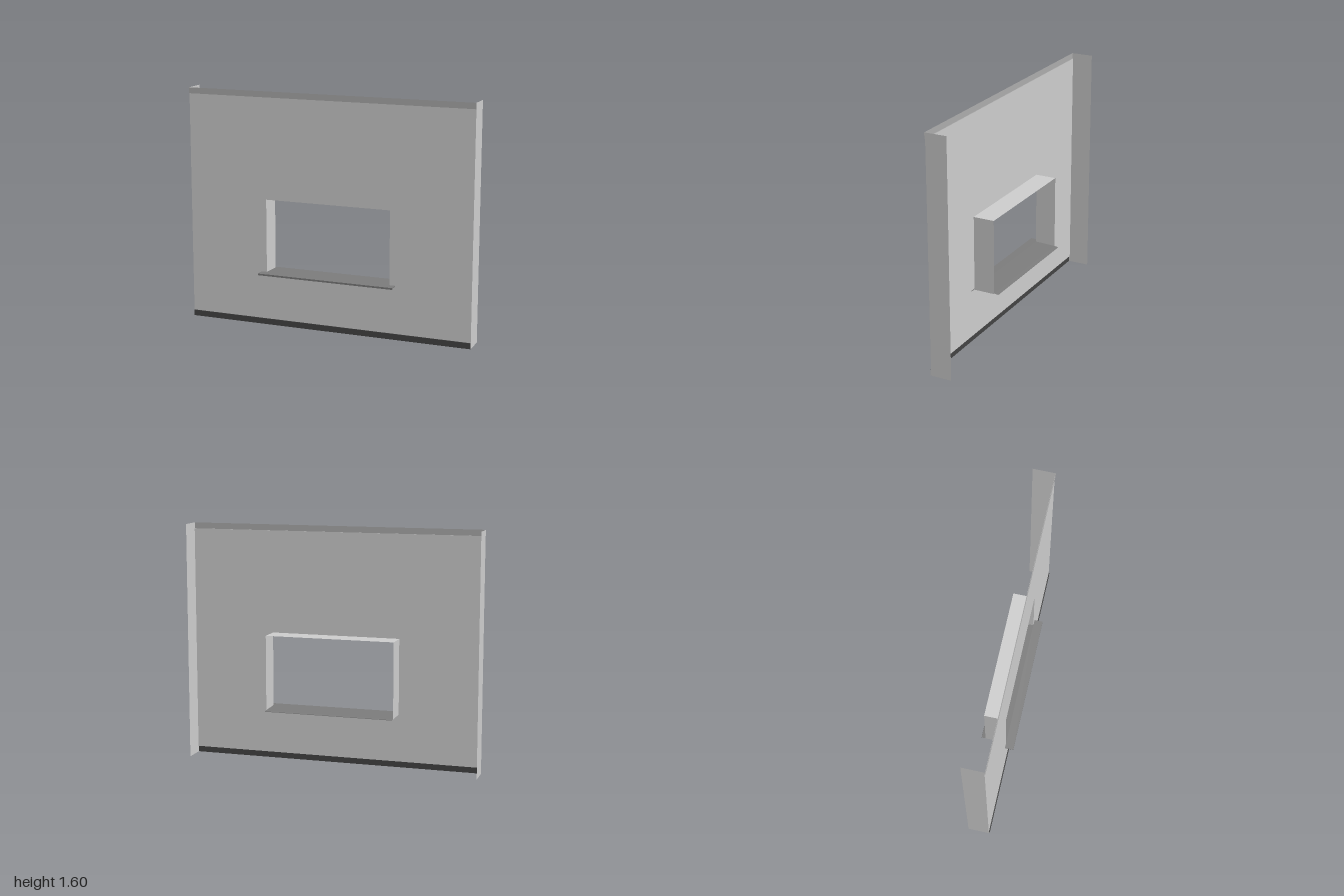
import * as THREE from 'three';

const WALL_Z = 0.057, STRIP_Z = 0.062, BACK_Z = -0.088;
const OPEN_X = 0.44, OPEN_BOTTOM = 0.36, OPEN_TOP = 0.87;
const HEIGHT = 1.6, STRIP = 0.04;

const grey = (color) => new THREE.MeshStandardMaterial({ color, side: THREE.DoubleSide, flatShading: true });

export function createModel() {
  const group = new THREE.Group();
  const wallMat = grey(0xcccccc), corniceMat = grey(0xababab);
  const plinthMat = grey(0x434343), sillMat = grey(0x7b7b7b);

  const add = (name, geometry, material) => {
    const mesh = new THREE.Mesh(geometry, material);
    mesh.name = name;
    group.add(mesh);
    return mesh;
  };

  // Thin sheet: a profile of [z, y] points swept across x from -halfWidth to +halfWidth
  const sheet = (name, profile, halfWidth, material) => {
    const pos = [], index = [];
    profile.forEach(([z, y], i) => {
      pos.push(-halfWidth, y, z, halfWidth, y, z);
      if (i) index.push(2 * i - 2, 2 * i - 1, 2 * i, 2 * i - 1, 2 * i + 1, 2 * i);
    });
    const g = new THREE.BufferGeometry();
    g.setAttribute('position', new THREE.Float32BufferAttribute(pos, 3));
    g.setIndex(index);
    g.computeVertexNormals();
    return add(name, g, material);
  };

  // Flat wall face with the window opening
  const face = new THREE.Shape([[-1, STRIP], [1, STRIP], [1, HEIGHT - STRIP], [-1, HEIGHT - STRIP]]
    .map(p => new THREE.Vector2(...p)));
  face.holes.push(new THREE.Path([[-OPEN_X, OPEN_BOTTOM], [-OPEN_X, OPEN_TOP], [OPEN_X, OPEN_TOP], [OPEN_X, OPEN_BOTTOM]]
    .map(p => new THREE.Vector2(...p))));
  add('wallFace', new THREE.ShapeGeometry(face).translate(0, 0, WALL_Z), wallMat);

  // Edge strips, stepped slightly forward of the wall
  sheet('cornice', [[WALL_Z, HEIGHT - STRIP], [STRIP_Z, HEIGHT - STRIP], [STRIP_Z, HEIGHT]], 1, corniceMat);
  sheet('plinth', [[STRIP_Z, 0], [STRIP_Z, STRIP], [WALL_Z, STRIP]], 1, plinthMat);

  // Side returns follow the stepped front edge
  const side = new THREE.Shape([
    [BACK_Z, 0], [STRIP_Z, 0], [STRIP_Z, STRIP], [WALL_Z, STRIP],
    [WALL_Z, HEIGHT - STRIP], [STRIP_Z, HEIGHT - STRIP], [STRIP_Z, HEIGHT], [BACK_Z, HEIGHT],
  ].map(([z, y]) => new THREE.Vector2(-z, y)));
  for (const s of [1, -1]) {
    const label = s > 0 ? 'left' : 'right';
    add(label + 'WallReturn', new THREE.ShapeGeometry(side).rotateY(Math.PI / 2).translate(s, 0, 0), wallMat);

    // Window jambs
    const jamb = new THREE.PlaneGeometry(WALL_Z - BACK_Z, OPEN_TOP - OPEN_BOTTOM).rotateY(s * -Math.PI / 2);
    add(label + 'Jamb', jamb.translate(s * OPEN_X, (OPEN_TOP + OPEN_BOTTOM) / 2, (WALL_Z + BACK_Z) / 2), wallMat);
  }

  // Top and bottom of the window reveal
  sheet('windowHead', [[WALL_Z, OPEN_TOP], [BACK_Z, OPEN_TOP]], OPEN_X, wallMat);
  sheet('revealBottom', [[WALL_Z, OPEN_BOTTOM], [BACK_Z, OPEN_BOTTOM]], OPEN_X, wallMat);

  // Sill: a sheet inside the opening and a wider lipped nose in front
  sheet('sillInner', [[WALL_Z, 0.369], [BACK_Z, 0.364], [-0.115, 0.361], [-0.116, 0.358]], OPEN_X, sillMat);
  const nose = new THREE.Shape([
    [WALL_Z, 0.362], [0.109, 0.362], [0.109, 0.356], [0.115, 0.356], [0.115, 0.368], [WALL_Z, 0.369],
  ].map(([z, y]) => new THREE.Vector2(-z, y)));
  const noseGeometry = new THREE.ExtrudeGeometry(nose, { depth: 0.96, bevelEnabled: false });
  add('sillNose', noseGeometry.rotateY(Math.PI / 2).translate(-0.48, 0, 0), sillMat);

  return group;
}
